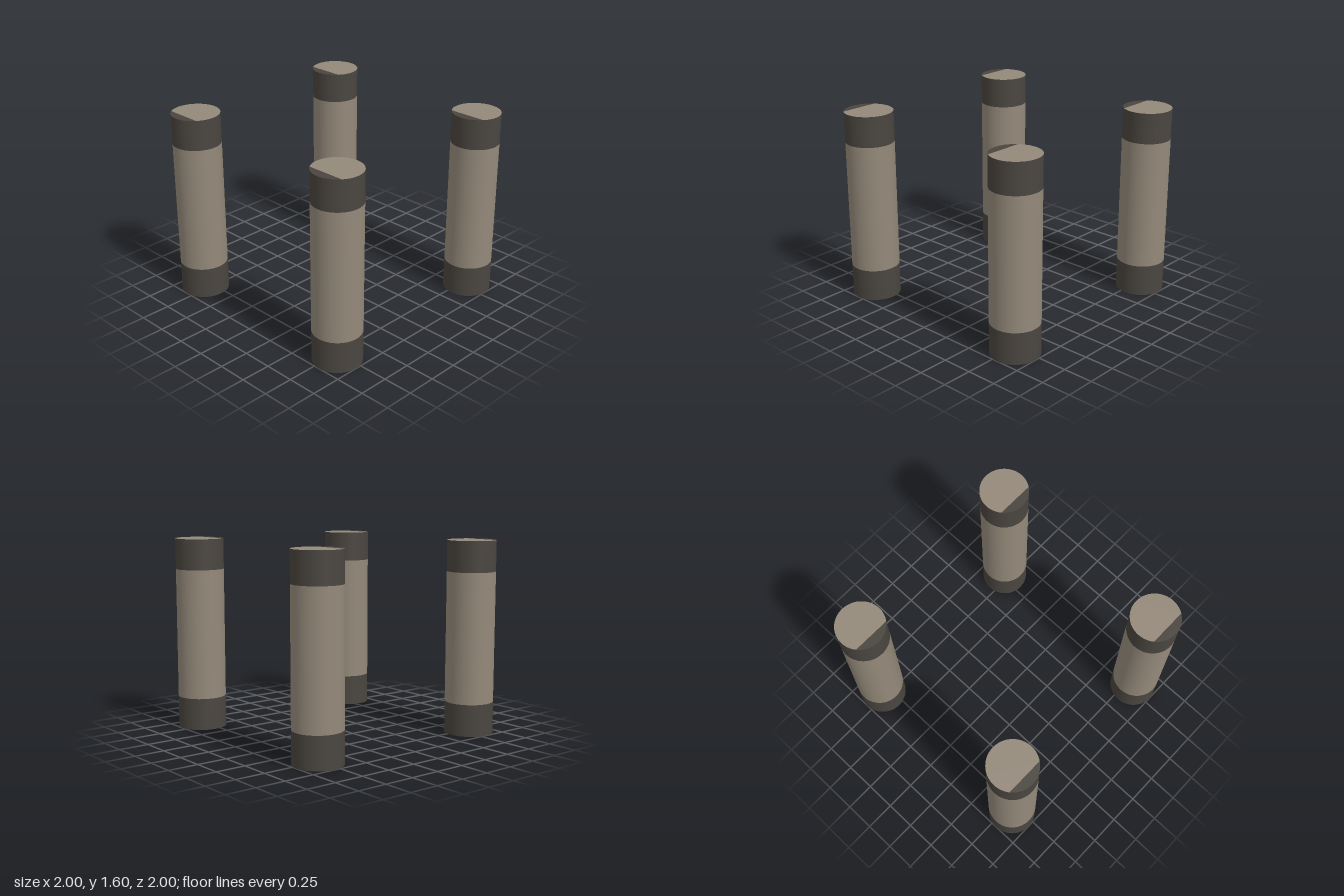
import * as THREE from 'three';

const R = 0.2, HEIGHT = 1.6, SIDES = 64;
const BAND_LOW = 0.265, BAND_HIGH = 1.345;
const CHORD = Math.asin(0.6); // chord dividing each end disc at local z = 0.12

export function createModel() {
  const stone = new THREE.MeshStandardMaterial({ color: 0x94897a });
  stone.name = 'warm grey';
  const dark = new THREE.MeshStandardMaterial({ color: 0x4a453f });
  dark.name = 'dark grey';

  // Open side wall between two heights
  const wall = (y0, y1) =>
    new THREE.CylinderGeometry(R, R, y1 - y0, SIDES, 1, true).translate(0, (y0 + y1) / 2, 0);

  // Part of an end disc, bounded by an arc and its chord, facing up
  const discPart = (start, end) => {
    const shape = new THREE.Shape().absarc(0, 0, R, start, end, false);
    return new THREE.ShapeGeometry(shape, SIDES).rotateX(-Math.PI / 2);
  };
  const mainDisc = discPart(-CHORD, Math.PI + CHORD);
  const frontSliver = discPart(Math.PI + CHORD, 2 * Math.PI - CHORD);
  const toTop = (g) => g.clone().translate(0, HEIGHT, 0);
  const toBottom = (g) => g.clone().rotateZ(Math.PI);

  const parts = [
    ['lowerBand', wall(0, BAND_LOW), dark],
    ['shaft', wall(BAND_LOW, BAND_HIGH), stone],
    ['upperBand', wall(BAND_HIGH, HEIGHT), dark],
    ['topDisc', toTop(mainDisc), stone],
    ['topFrontEdge', toTop(frontSliver), dark],
    ['bottomDisc', toBottom(mainDisc), stone],
    ['bottomFrontEdge', toBottom(frontSliver), dark],
  ];

  // Four identical posts at the corners of a square
  const model = new THREE.Group();
  model.name = 'fourPosts';
  for (const [side, x] of [['Left', 0.8], ['Right', -0.8]]) {
    for (const [end, z] of [['front', 0.8], ['back', -0.8]]) {
      const post = new THREE.Group();
      post.name = `${end}${side}Post`;
      for (const [name, geometry, material] of parts) {
        const mesh = new THREE.Mesh(geometry, material);
        mesh.name = name;
        post.add(mesh);
      }
      post.position.set(x, 0, z);
      model.add(post);
    }
  }
  return model;
}
